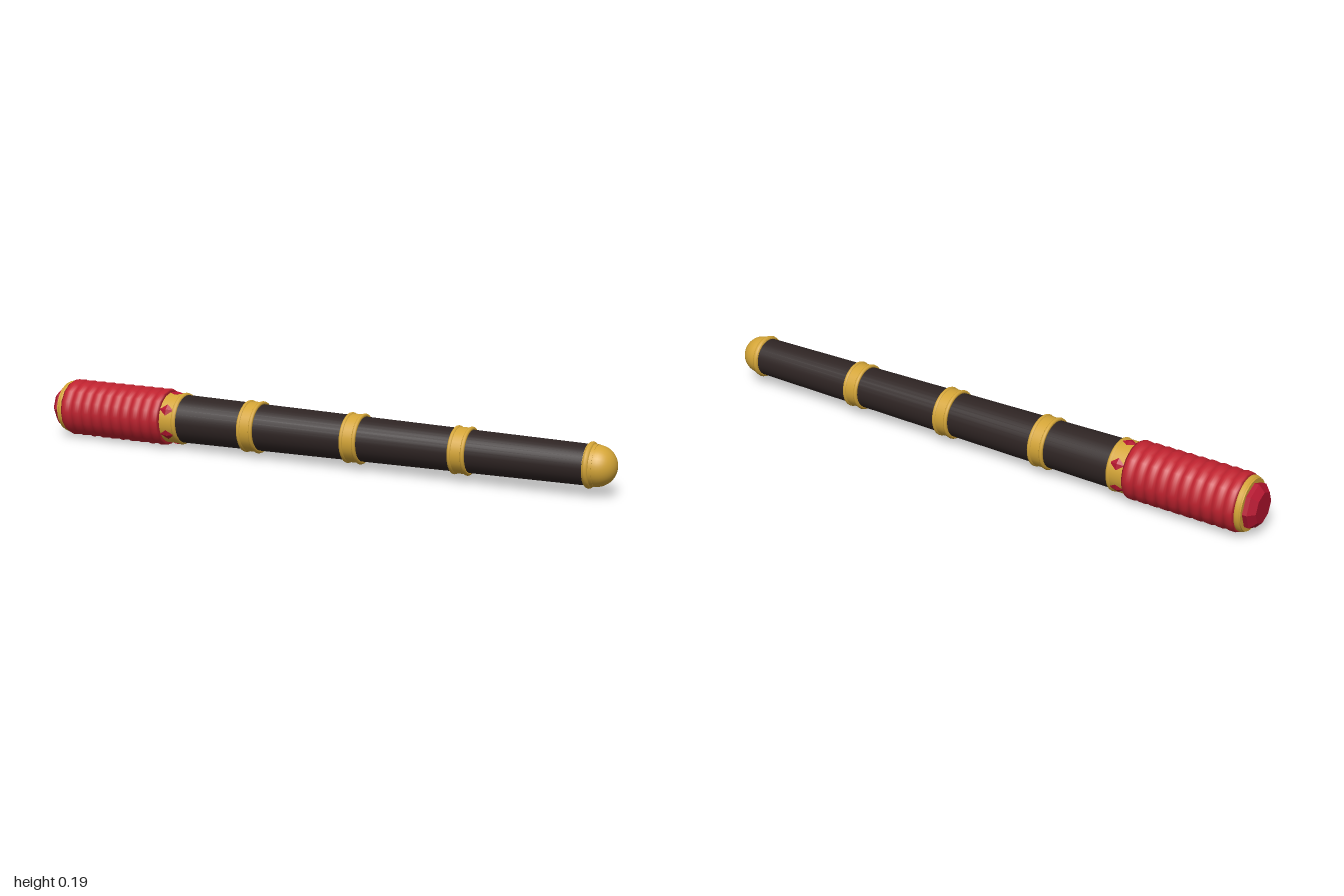
import * as THREE from 'three';

export function createModel() {
  const mat = (name, color, extra = {}) => {
    const m = new THREE.MeshStandardMaterial({ color, ...extra });
    m.name = name;
    return m;
  };
  const gold = mat('gold', 0xd4a537);
  const wood = mat('dark wood', 0x2e2423);
  const red = mat('red wrap', 0xc0222f);
  const gem = mat('crimson gem', 0xb3142f, { flatShading: true });

  // Built along +y, then laid down so that +y becomes +x
  const rod = new THREE.Group();
  rod.name = 'rod';
  rod.rotation.z = -Math.PI / 2;
  rod.position.y = 0.098;

  const add = (name, geometry, material, parent = rod) => {
    const mesh = new THREE.Mesh(geometry, material);
    mesh.name = name;
    parent.add(mesh);
    return mesh;
  };
  const tube = (name, from, to, r0, r1, material, sides = 32, parent = rod) => {
    const g = new THREE.CylinderGeometry(r1, r0, to - from, sides);
    g.translate(0, (from + to) / 2, 0);
    return add(name, g, material, parent);
  };
  const ring = (name, at, outer, thick, material, sides = 32, parent = rod) => {
    const g = new THREE.TorusGeometry(outer - thick, thick, 10, sides);
    g.rotateX(Math.PI / 2);
    g.translate(0, at, 0);
    return add(name, g, material, parent);
  };

  // Tapered shaft
  tube('shaft', -0.52, 0.92, 0.081, 0.064, wood);

  // Rippled grip, sixteen-sided
  const profile = [new THREE.Vector2(0, -0.945)];
  const coils = 10, steps = 6, start = -0.945, end = -0.56;
  for (let i = 0; i <= coils * steps; i++) {
    const r = 0.091 + 0.006 * Math.abs(Math.sin((i / steps) * Math.PI));
    profile.push(new THREE.Vector2(r, start + ((end - start) * i) / (coils * steps)));
  }
  profile.push(new THREE.Vector2(0, end));
  add('grip', new THREE.LatheGeometry(profile, 16), red);

  // Pommel rim and faceted end gem
  tube('pommelRim', -0.965, -0.935, 0.084, 0.084, gold);
  ring('pommelRing', -0.95, 0.09, 0.014, gold);
  tube('pommelGemSide', -0.98, -0.955, 0.074, 0.074, gem, 8);
  tube('pommelGemFace', -1, -0.98, 0.052, 0.074, gem, 8);

  // Collar set with six diamond-shaped gems
  tube('collar', -0.567, -0.505, 0.085, 0.085, gold);
  ring('collarRing', -0.508, 0.088, 0.009, gold);
  for (let i = 0; i < 6; i++) {
    const a = (i * Math.PI) / 3 + Math.PI / 2;
    const g = new THREE.OctahedronGeometry(1);
    g.scale(0.006, 0.026, 0.02);
    g.rotateY(a);
    g.translate(Math.cos(a) * 0.085, -0.536, -Math.sin(a) * 0.085);
    // quarter turn puts one gem on the top of the rod
    g.rotateY(Math.PI / 2);
    add('collarGem', g, gem);
  }

  // Three shaft bands with raised edges
  for (const [at, r] of [[-0.24, 0.083], [0.13, 0.079], [0.5, 0.074]]) {
    const band = new THREE.Group();
    band.name = 'band';
    rod.add(band);
    tube('bandSleeve', at - 0.025, at + 0.025, r, r, gold, 32, band);
    for (const s of [-1, 1]) ring('bandEdge', at + s * 0.022, r + 0.004, 0.007, gold, 32, band);
  }

  // Rounded tip
  tube('tipSleeve', 0.907, 0.937, 0.067, 0.066, gold);
  ring('tipRing', 0.917, 0.073, 0.01, gold);
  const dome = new THREE.SphereGeometry(0.065, 32, 12, 0, Math.PI * 2, 0, Math.PI / 2);
  dome.translate(0, 0.935, 0);
  add('tipDome', dome, gold);

  const group = new THREE.Group();
  group.name = 'baton';
  group.add(rod);
  return group;
}
